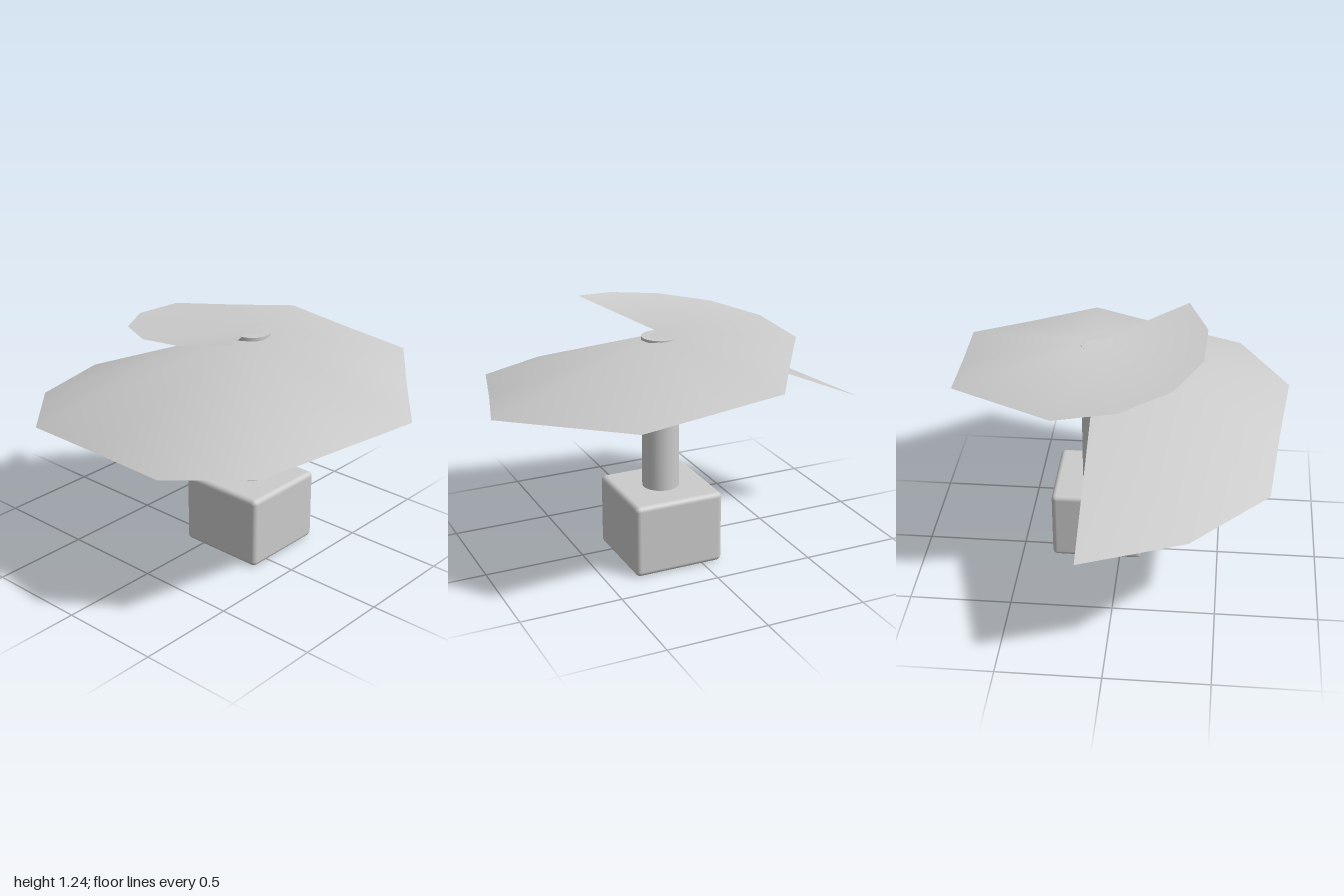
import * as THREE from 'three';
import { RoundedBoxGeometry } from 'three/addons/geometries/RoundedBoxGeometry.js';

const AXIS_X = 0.117, AXIS_Z = 0.126;

// Thin spiral canopy: a fan from the apex to a rim that rises and shrinks over 480 degrees
function spiralGeometry() {
  const steps = 18;
  const notched = [3, 6, 8, 10, 12]; // rim points pulled in onto the chord
  const positions = [0, 1.14, 0];
  const index = [];
  for (let k = 0; k <= steps; k++) {
    const t = k / steps;
    const angle = t * THREE.MathUtils.degToRad(480);
    const r = THREE.MathUtils.lerp(1.126, 0.49, t) * (notched.includes(k) ? 0.888 : 1);
    positions.push(-Math.sin(angle) * r, THREE.MathUtils.lerp(0.645, 1.24, t), -Math.cos(angle) * r);
    if (k < steps) index.push(0, k + 1, k + 2);
  }
  const geometry = new THREE.BufferGeometry();
  geometry.setAttribute('position', new THREE.Float32BufferAttribute(positions, 3));
  geometry.setIndex(index);
  geometry.computeVertexNormals();
  return geometry;
}

export function createModel() {
  const model = new THREE.Group();
  const grey = new THREE.MeshStandardMaterial({ color: 0xcccccc });
  const thinGrey = new THREE.MeshStandardMaterial({ color: 0xcccccc, side: THREE.DoubleSide });

  const add = (name, geometry, y, material = grey) => {
    const mesh = new THREE.Mesh(geometry, material);
    mesh.name = name;
    mesh.position.set(AXIS_X, y, AXIS_Z);
    model.add(mesh);
  };

  // Rounded block, column and spiral share one vertical axis
  add('base', new RoundedBoxGeometry(0.455, 0.365, 0.455, 3, 0.025), 0.1825);
  add('column', new THREE.CylinderGeometry(0.09, 0.09, 0.775, 32), 0.7375);
  add('spiralCanopy', spiralGeometry(), 0, thinGrey);
  return model;
}
